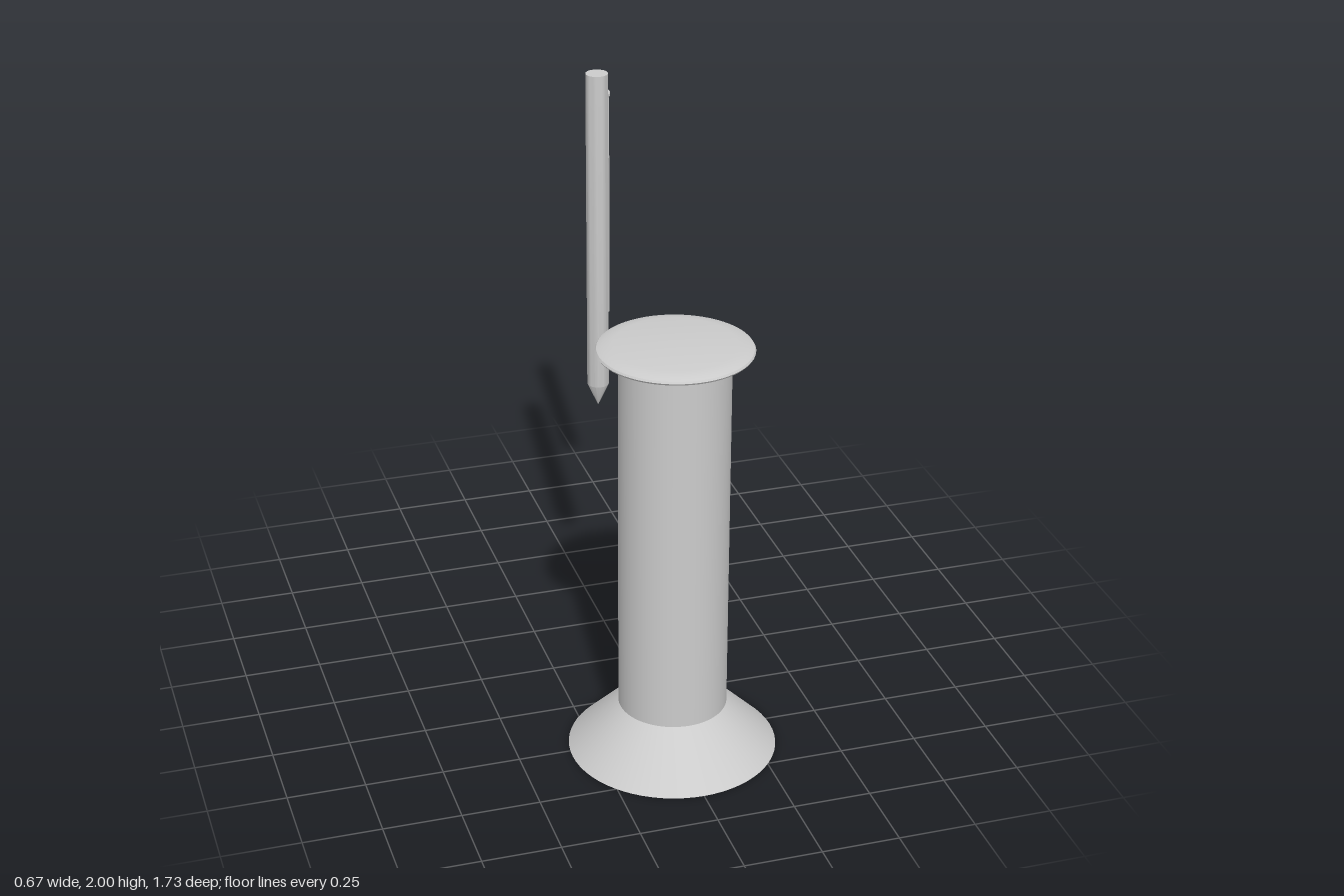
import * as THREE from 'three';
import { toCreasedNormals } from 'three/addons/utils/BufferGeometryUtils.js';

const grey = new THREE.MeshStandardMaterial({ color: 0xcccccc });

// Solid of revolution from [radius, y] points listed bottom to top
function turned(name, points, sides = 64) {
  const profile = points.map(([r, y]) => new THREE.Vector2(r, y));
  const geometry = toCreasedNormals(new THREE.LatheGeometry(profile, sides), 0.45);
  const mesh = new THREE.Mesh(geometry, grey);
  mesh.name = name;
  return mesh;
}

function group(name, x, z, ...parts) {
  const g = new THREE.Group();
  g.name = name;
  g.position.set(x, 0, z);
  g.add(...parts);
  return g;
}

export function createModel() {
  // Stand: flared foot, tall column and thin bevelled top plate
  const stand = group('stand', 0, 0.532,
    turned('foot', [[0, 0], [0.333, 0], [0.173, 0.16], [0, 0.16]]),
    turned('column', [[0, 0.16], [0.173, 0.16], [0.173, 1.385], [0, 1.385]]),
    turned('topPlate', [
      [0, 1.374], [0.195, 1.374], [0.225, 1.38], [0.239, 1.386], [0.243, 1.392],
      [0.239, 1.398], [0.222, 1.405], [0.19, 1.41], [0, 1.413],
    ]));

  // Round stick with a pointed lower end
  const stick = group('roundStick', -0.014, -0.259,
    turned('stickBody', [[0, 0.835], [0.036, 0.915], [0.036, 2], [0, 2]], 32));

  // Hexagonal pencil, point down, with a collar and eraser on top
  const pencil = group('pencil', 0.161, -0.829,
    turned('lead', [[0, 0.835], [0.005, 0.868], [0, 0.868]], 12),
    turned('sharpenedWood', [[0, 0.862], [0.007, 0.862], [0.033, 0.912], [0, 0.912]], 6),
    turned('pencilBody', [[0, 0.912], [0.033, 0.912], [0.033, 1.712], [0, 1.712]], 6),
    turned('collar', [
      [0, 1.708], [0.033, 1.708], [0.036, 1.712], [0.036, 1.721], [0.033, 1.726], [0, 1.726],
    ], 32),
    turned('eraser', [[0, 1.726], [0.025, 1.726], [0.025, 1.754], [0.022, 1.758], [0, 1.758]], 32));

  const model = new THREE.Group();
  model.name = 'standWithPencils';
  model.add(stand, stick, pencil);
  return model;
}
